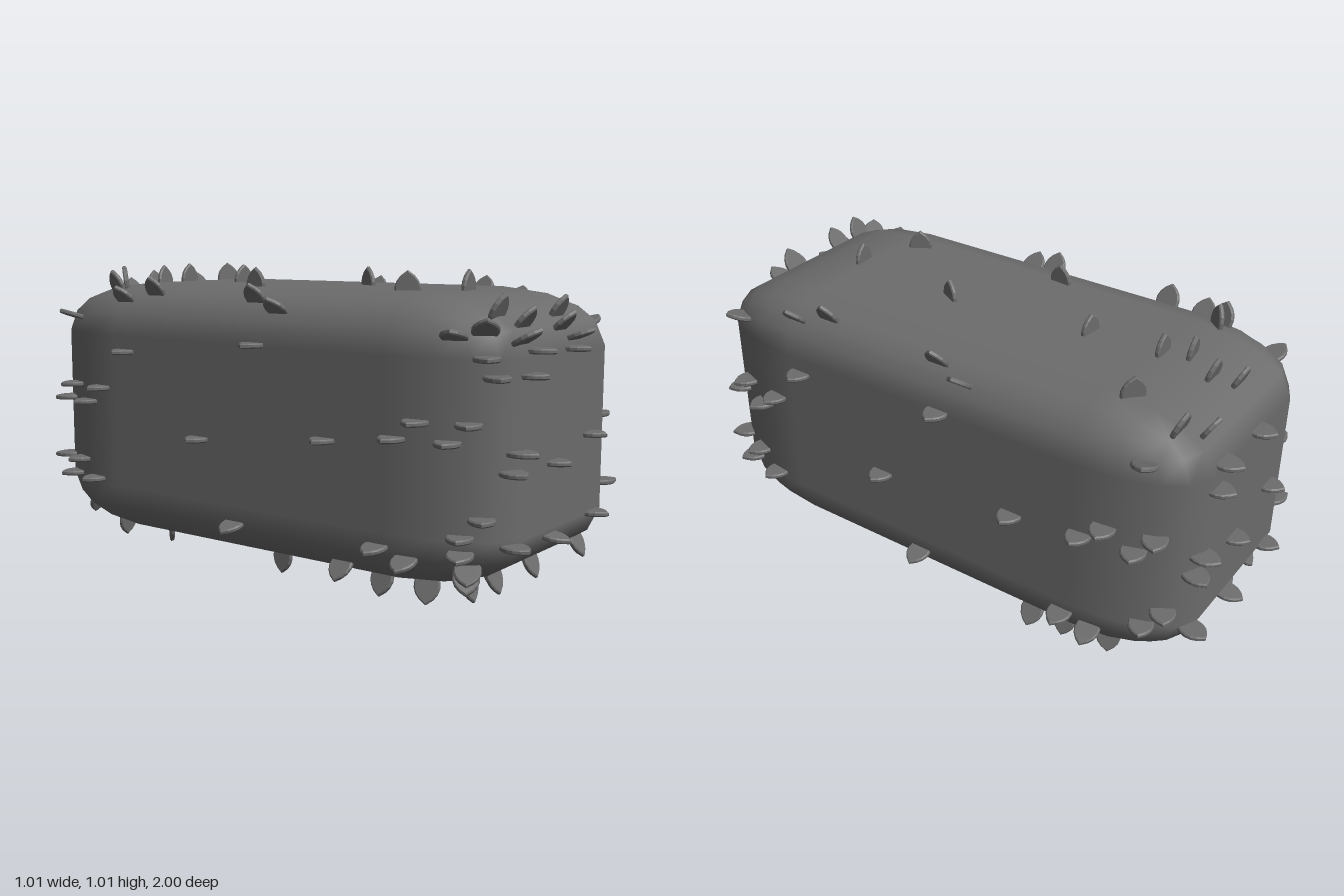
import * as THREE from 'three';
import { RoundedBoxGeometry } from 'three/addons/geometries/RoundedBoxGeometry.js';

const HALF = [0.443, 0.4425, 0.937]; // half sizes of the body
const MID_Y = 0.5065;
const ROUND = 0.4;                   // edge radius on the unit cube
const LIFT = 0.03;                   // spike middle above the skin

const material = new THREE.MeshStandardMaterial({ color: 0x6c6c6c });

// Pointed leaf-shaped plate: width along x, tip along +y, thin along z
function spikeGeometry() {
  const s = new THREE.Shape();
  s.moveTo(-0.029, -0.03);
  s.lineTo(0.029, -0.03);
  s.quadraticCurveTo(0.054, 0.026, 0, 0.058);
  s.quadraticCurveTo(-0.054, 0.026, -0.029, -0.03);
  const g = new THREE.ExtrudeGeometry(s, {
    depth: 0.008, curveSegments: 5, bevelEnabled: true,
    bevelThickness: 0.004, bevelSize: 0.004, bevelSegments: 1,
  });
  return g.translate(0, 0, -0.004);
}

// Point and normal on the rounded skin, from the spike middle as seen along one axis
function onSkin(axis, sign, a, b) {
  const inner = 1 - ROUND;
  const shell = HALF.map((h) => h + LIFT);
  const [i, j] = [0, 1, 2].filter((k) => k !== axis);
  const flat = [0, 0, 0];
  const n = [0, 0, 0];
  for (const [k, value] of [[i, a], [j, b]]) {
    const v = value / shell[k];
    flat[k] = THREE.MathUtils.clamp(v, -inner, inner);
    n[k] = (v - flat[k]) / ROUND;
  }
  const shrink = Math.min(1, 0.98 / Math.max(Math.hypot(n[i], n[j]), 1e-6));
  n[i] *= shrink;
  n[j] *= shrink;
  flat[axis] = sign * inner;
  n[axis] = sign * Math.sqrt(1 - n[i] ** 2 - n[j] ** 2);
  const normal = new THREE.Vector3(...n.map((v, k) => v / HALF[k])).normalize();
  const point = new THREE.Vector3(...n.map((v, k) => (flat[k] + v * ROUND) * shell[k]));
  return { point: point.addScaledVector(normal, -LIFT), normal };
}

// Spikes on the long sides: [z, y], repeated on the other side by a half turn
const SIDES = [
  [0.51, 0.72], [-0.07, 0.775], [0.64, 0.585], [0.81, 0.585], [-0.68, 0.585], [-0.84, 0.585],
  [0.87, 0.53], [0.72, 0.53], [-0.6, 0.53], [-0.78, 0.53], [-0.35, 0.5], [0.17, 0.45],
  [0.91, 0.31], [0.77, 0.315], [0.83, 0.255], [0.68, 0.255], [-0.88, 0.31], [-0.82, 0.255],
  [0.03, 0.17], [-0.54, 0.19], [-0.64, 0.155], [0.82, 0.84], [0.55, 0.92], [0.43, 0.95],
  [-0.03, 0.94], [-0.14, 0.905], [-0.79, 0.845],
];
// Spikes on the ends: [x, y], repeated at the back by a half turn
const ENDS = [
  [-0.24, 0.72], [-0.2, 0.79], [0.03, 0.78], [-0.29, 0.5], [0.165, 0.5], [-0.33, 0.445],
  [-0.08, 0.445], [-0.315, 0.225], [-0.07, 0.21], [0.2, 0.24], [0.26, 0.1],
];
// Spikes on the front rim only: [x, y]
const FRONT_RIM = [
  [0.07, 0.825], [0.01, 0.87], [0.07, 0.91], [-0.26, 0.84], [-0.2, 0.89], [-0.26, 0.925],
  [-0.38, 0.87], [-0.38, 0.72], [-0.4, 0.775], [-0.4, 0.14], [-0.38, 0.11], [-0.43, 0.2],
];
// Top: [x, z, turn in degrees]
const TOP = [
  [0, -0.35, -8], [-0.25, -0.08, 85], [0.06, 0.16, 62], [-0.2, 0.49, -60], [0, 0.59, 4],
  [0.25, -0.65, -40], [-0.3, -0.65, 45], [-0.35, -0.65, 55], [-0.07, -0.85, 0],
  [-0.02, -0.78, 0], [-0.07, -0.68, 8], [-0.02, -0.6, 0], [0.2, -0.89, 0], [0.28, -0.83, 0],
];
// Underside: [x, z, turn in degrees]
const BOTTOM = [
  [0.02, -0.17, 80], [0.1, -0.7, 0], [-0.22, -0.52, 50], [0.065, -0.84, 0], [0.4, -0.4, 0],
  [0.35, -0.5, 0], [0.33, -0.66, 0], [0.3, 0.15, 80], [-0.07, 0.37, 15], [-0.27, -0.7, 30],
  [-0.13, -0.86, 0], [-0.41, 0.38, 0], [-0.35, 0.5, 0], [-0.34, 0.66, 0], [-0.08, 0.74, 0],
  [0, 0.84, 0], [-0.2, 0.82, 0], [-0.28, 0.78, 0], [-0.3, 0.07, 85],
];

export function createModel() {
  const model = new THREE.Group();
  model.name = 'spikyBlock';

  const body = new THREE.Mesh(
    new RoundedBoxGeometry(2, 2, 2, 2, ROUND).scale(...HALF), material);
  body.name = 'body';
  body.position.y = MID_Y;
  model.add(body);

  const spikes = new THREE.Group();
  spikes.name = 'spikes';
  spikes.position.y = MID_Y;
  model.add(spikes);

  const geometry = spikeGeometry();
  const up = new THREE.Vector3(0, 1, 0);
  function addSpike(axis, sign, a, b, turn = 0) {
    const { point, normal } = onSkin(axis, sign, a, b);
    // Spikes lie level, except on flat ground where each has its own turn
    const wide = new THREE.Vector3().crossVectors(up, normal);
    if (wide.length() < 0.15) {
      const t = THREE.MathUtils.degToRad(turn);
      wide.set(Math.cos(t), 0, -Math.sin(t));
      wide.addScaledVector(normal, -wide.dot(normal));
    }
    wide.normalize();
    const thin = new THREE.Vector3().crossVectors(wide, normal);
    const spike = new THREE.Mesh(geometry, material);
    spike.name = 'spike';
    spike.position.copy(point);
    spike.quaternion.setFromRotationMatrix(new THREE.Matrix4().makeBasis(wide, normal, thin));
    spikes.add(spike);
  }

  for (const s of [1, -1]) {
    for (const [z, y] of SIDES) addSpike(0, s, y - MID_Y, s * z);
    for (const [x, y] of ENDS) addSpike(2, s, s * x, y - MID_Y);
  }
  for (const [x, y] of FRONT_RIM) addSpike(2, 1, x, y - MID_Y);
  for (const [x, z, turn] of TOP) addSpike(1, 1, x, z, turn);
  for (const [x, z, turn] of BOTTOM) addSpike(1, -1, x, z, turn);

  return model;
}
